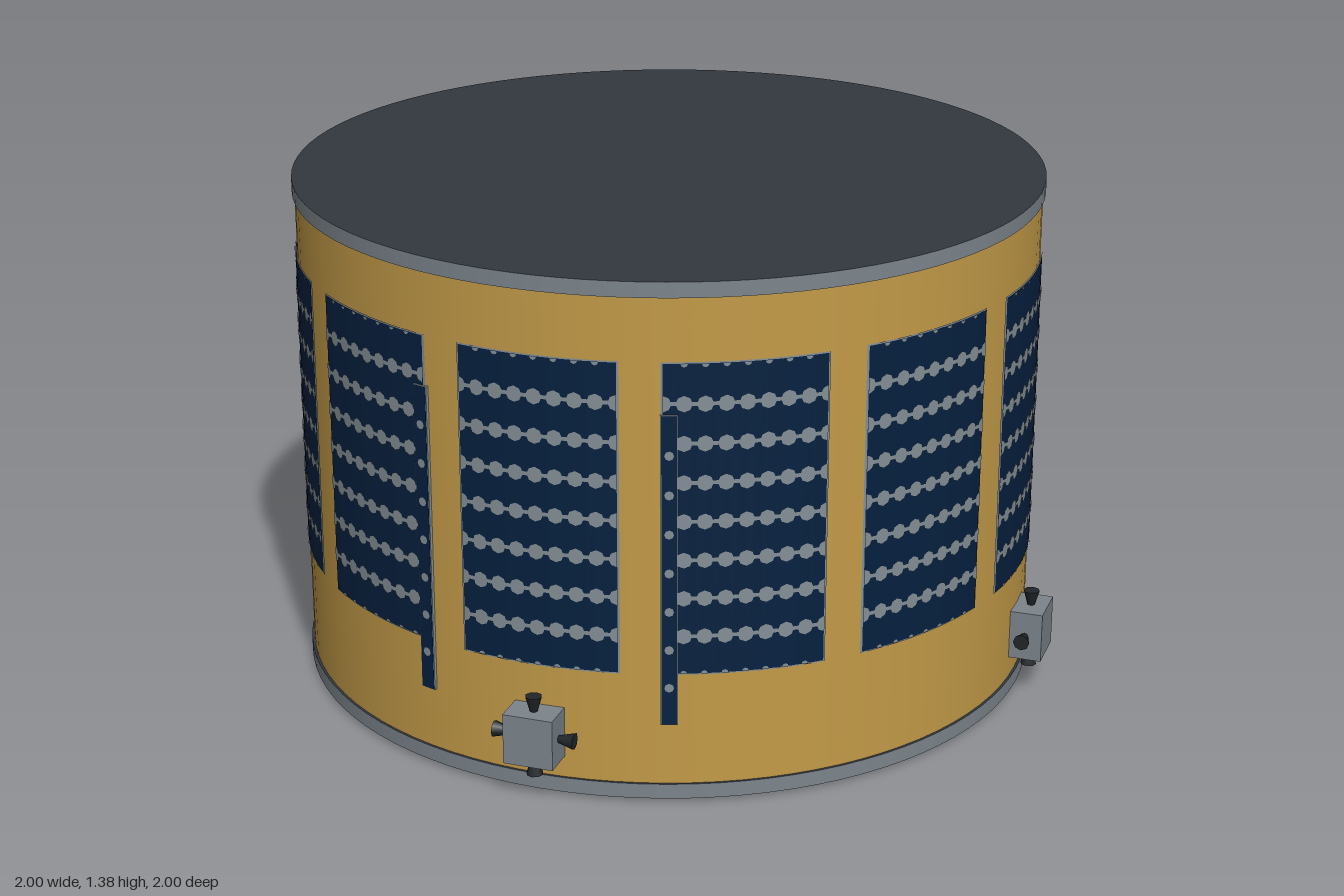
import * as THREE from 'three';
import { mergeGeometries } from 'three/addons/utils/BufferGeometryUtils.js';

const mat = (name, color, side = THREE.FrontSide) => {
  const m = new THREE.MeshStandardMaterial({ color, side });
  m.name = name;
  return m;
};
const rad = THREE.MathUtils.degToRad;

export function createModel() {
  const foil = mat('gold foil', 0xc39b48);
  const deck = mat('dark deck', 0x32383f);
  const underside = mat('underside black', 0x2a3235);
  const metal = mat('grey metal', 0x7c858c);
  const cell = mat('solar blue', 0x05203f, THREE.DoubleSide);
  const contact = mat('cell contact grey', 0x848f96, THREE.DoubleSide);
  const dark = mat('nozzle black', 0x22262a, THREE.DoubleSide);

  const model = new THREE.Group();
  const add = (parent, name, geo, m, x = 0, y = 0, z = 0) => {
    const mesh = new THREE.Mesh(geo, m);
    mesh.name = name;
    mesh.position.set(x, y, z);
    parent.add(mesh);
    return mesh;
  };
  // Curved plate on the drum, angles in degrees from +z towards +x
  const arc = (r, y0, y1, a0, a1, segs = 10) =>
    new THREE.CylinderGeometry(r, r, y1 - y0, segs, 1, true, rad(a0), rad(a1 - a0))
      .translate(0, (y0 + y1) / 2, 0);
  // Group turned so that its +z points outward at the given angle
  const spoke = (name, deg) => {
    const g = new THREE.Group();
    g.name = name;
    g.rotation.y = rad(deg);
    model.add(g);
    return g;
  };

  // Drum body, rims and decks
  add(model, 'drum', arc(0.992, 0.04, 1.35, 0, 360, 96), foil);
  for (const [name, y] of [['bottomRim', 0.029], ['topRim', 1.355]]) {
    add(model, name, new THREE.CylinderGeometry(0.999, 0.999, 0.04, 96),
      [metal, deck, underside], 0, y, 0);
  }

  // Twelve curved solar panels with rows of contacts
  const bottom = 0.355, top = 1.17, rows = 8, cols = 8, half = 11.8;
  const pitch = (top - bottom) / rows;
  for (let k = 0; k < 12; k++) {
    const mid = 3.8 + 30 * k;
    const panel = new THREE.Group();
    panel.name = 'solarPanel';
    model.add(panel);
    add(panel, 'panelBacking', arc(0.9945, bottom - 0.004, top + 0.003, mid - half - 0.3, mid + half + 0.3), contact);
    add(panel, 'solarCells', arc(0.9965, bottom, top, mid - half, mid + half), cell);
    const marks = [];
    for (let j = 0; j <= rows; j++) {
      const y = bottom + j * pitch;
      const rim = j === 0 || j === rows;
      if (!rim) marks.push(arc(0.998, y - 0.005, y + 0.005, mid - half, mid + half));
      for (let i = 0; i <= cols; i++) {
        // Rounded gaps between cell corners, halved at the panel edges
        const side = i === 0 || i === cols;
        if (rim && side) continue;
        let start = 0;
        if (i === 0) start = -Math.PI / 2;
        else if (i === cols) start = Math.PI / 2;
        else if (j === rows) start = Math.PI;
        const halved = rim || side;
        const d = new THREE.CircleGeometry(rim ? 0.009 : 0.021, halved ? 4 : 8, start, halved ? Math.PI : Math.PI * 2);
        d.translate(0, y, 0.9988).rotateY(rad(mid - half + (2 * half * i) / cols));
        marks.push(d);
      }
    }
    add(panel, 'cellContacts', mergeGeometries(marks), contact);
  }

  // Narrow cell strips standing just proud of the drum
  for (const deg of [105.1, 142.9, 285.1, 322.9]) {
    const g = spoke('cellStrip', deg);
    add(g, 'stripBacking', new THREE.BoxGeometry(0.043, 0.824, 0.008), contact, 0, 0.6275, 0.9965);
    add(g, 'stripBody', new THREE.BoxGeometry(0.038, 0.82, 0.01), cell, 0, 0.6275, 0.9965);
    for (let j = 1; j < rows; j++) {
      const y = 0.215 + j * 0.103;
      add(g, 'stripContact', new THREE.CircleGeometry(0.012, 8), contact, 0, y, 1.0022);
    }
  }

  // Four thruster blocks, each with four flared nozzles
  for (let k = 0; k < 4; k++) {
    const g = spoke('thruster', 33.8 + 90 * k);
    add(g, 'thrusterBlock', new THREE.BoxGeometry(0.132, 0.135, 0.092), metal, 0, 0.175, 1.031);
    for (let n = 0; n < 4; n++) {
      const nozzle = new THREE.CylinderGeometry(0.022, 0.01, 0.042, 8)
        .translate(0, 0.087, 0).rotateZ((n * Math.PI) / 2);
      add(g, 'nozzle', nozzle, dark, 0, 0.175, 1.031);
    }
  }

  // Small feet under the bottom deck
  for (let k = 0; k < 4; k++) {
    add(spoke('foot', 79 + 90 * k), 'footPad',
      new THREE.CylinderGeometry(0.02, 0.02, 0.012, 12), dark, 0, 0.006, 0.815);
  }
  return model;
}
